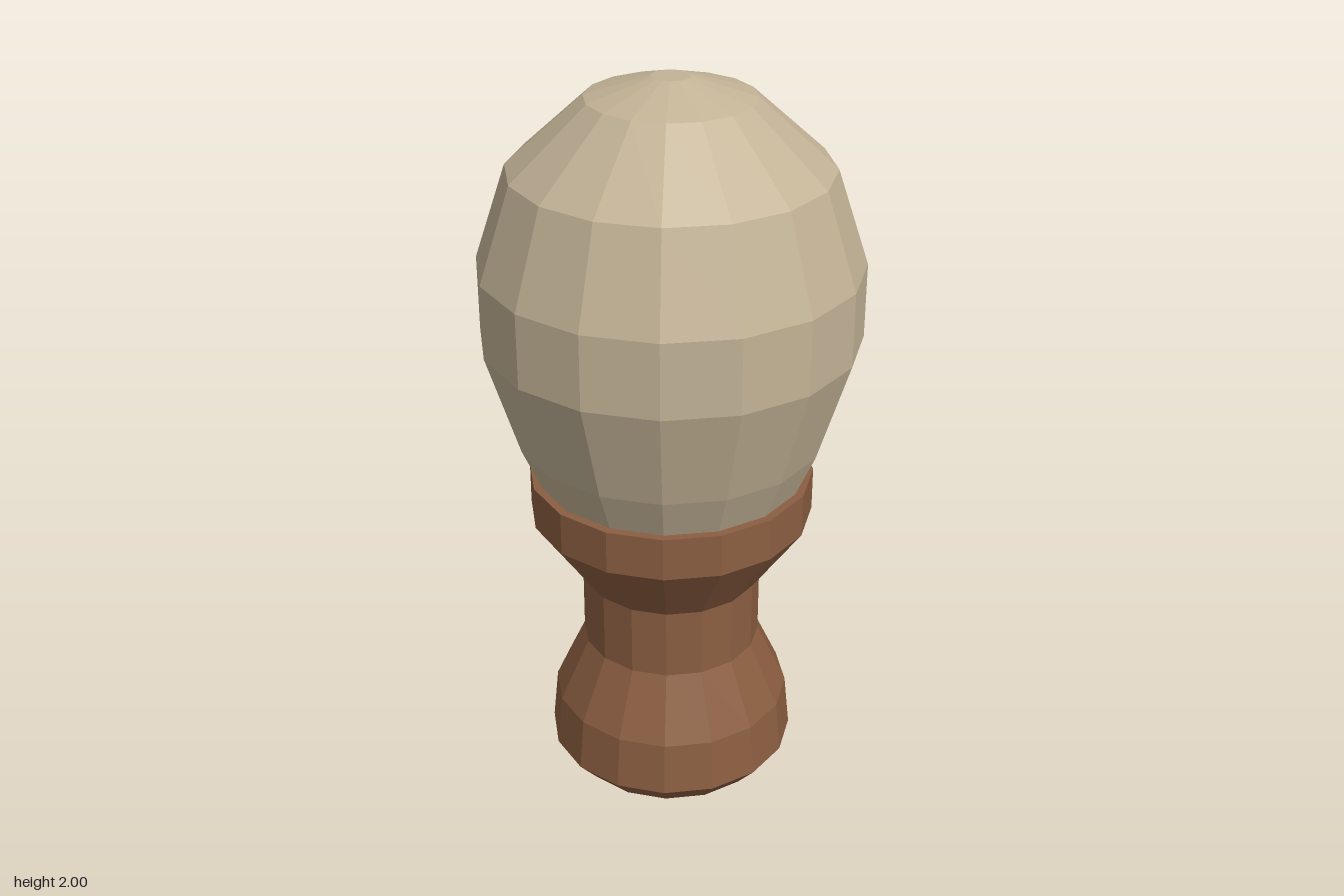
import * as THREE from 'three';

const SIDES = 16;

// Faceted turned part from a bottom-to-top [radius, height] profile
function turned(name, profile, material) {
  const points = profile.map(([r, y]) => new THREE.Vector2(r, y));
  const mesh = new THREE.Mesh(new THREE.LatheGeometry(points, SIDES), material);
  mesh.name = name;
  return mesh;
}

export function createModel() {
  const wood = new THREE.MeshStandardMaterial({ color: 0x8b5e41, flatShading: true });
  wood.name = 'brown wood';
  const hair = new THREE.MeshStandardMaterial({ color: 0xc3b396, flatShading: true });
  hair.name = 'beige bristle';

  const group = new THREE.Group();
  group.name = 'shavingBrush';

  // Handle: chamfered foot, narrow grip, flared collar with a flat rim
  group.add(turned('handle', [
    [0, 0], [0.285, 0], [0.345, 0.07], [0.33, 0.22], [0.247, 0.4],
    [0.247, 0.6], [0.385, 0.8], [0.385, 0.92], [0, 0.92],
  ], wood));

  // Bristles: bulb rising out of the collar
  group.add(turned('bristles', [
    [0.36, 0.915], [0.414, 1.04], [0.5, 1.32], [0.5, 1.52],
    [0.416, 1.77], [0.216, 1.95], [0.05, 2], [0, 2],
  ], hair));

  return group;
}
